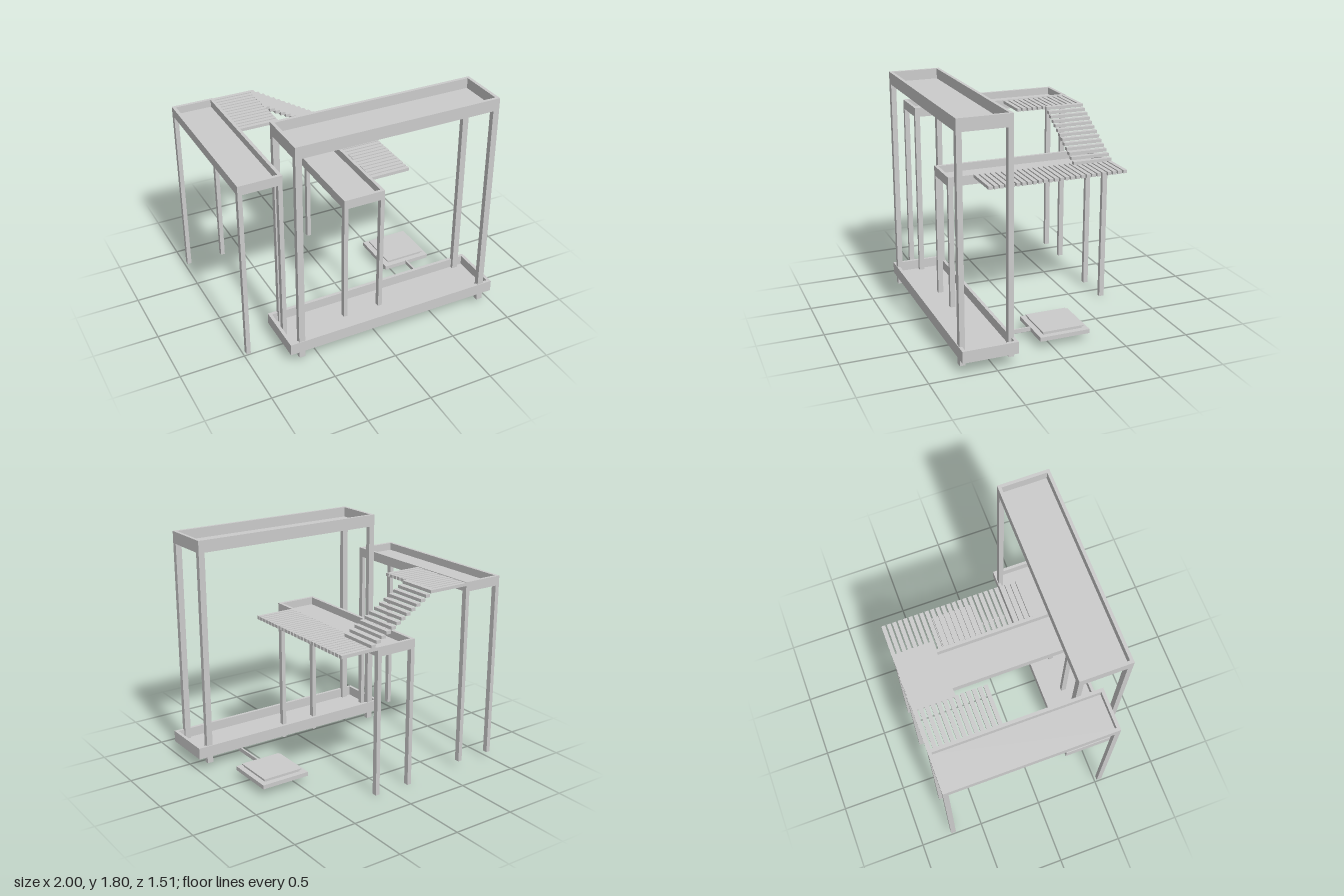
import * as THREE from 'three';

const material = new THREE.MeshStandardMaterial({ color: 0xcccccc, flatShading: true });

// Box given by its extents on each axis
function box(name, [x0, x1], [y0, y1], [z0, z1]) {
  const mesh = new THREE.Mesh(new THREE.BoxGeometry(x1 - x0, y1 - y0, z1 - z0), material);
  mesh.position.set((x0 + x1) / 2, (y0 + y1) / 2, (z0 + z1) / 2);
  mesh.name = name;
  return mesh;
}

function rectangle(Type, x0, x1, y0, y1) {
  return new Type([[x0, y0], [x1, y0], [x1, y1], [x0, y1]].map(p => new THREE.Vector2(...p)));
}

// Open tray: a rim around a thin floor
function tray(name, [x0, x1], [y0, y1], [z0, z1], wall = 0.025) {
  const group = new THREE.Group();
  group.name = name;
  const outline = rectangle(THREE.Shape, x0, x1, -z1, -z0);
  outline.holes.push(rectangle(THREE.Path, x0 + wall, x1 - wall, -z1 + wall, -z0 - wall));
  const rimGeometry = new THREE.ExtrudeGeometry(outline, { depth: y1 - y0, bevelEnabled: false });
  rimGeometry.rotateX(-Math.PI / 2);
  const rim = new THREE.Mesh(rimGeometry, material);
  rim.position.y = y0;
  rim.name = 'rim';
  group.add(rim, box('floor', [x0 + wall, x1 - wall], [y0, y0 + 0.015], [z0 + wall, z1 - wall]));
  return group;
}

// Tray raised on four corner legs
function raisedTray(name, xs, ys, zs, foot, legX, legZ) {
  const group = tray(name, xs, ys, zs);
  for (const x of [xs[0], xs[1] - legX])
    for (const z of [zs[0], zs[1] - legZ])
      group.add(box('leg', [x, x + legX], [foot, ys[0]], [z, z + legZ]));
  return group;
}

// Walkway of evenly spaced slats between z0 and z1
function slats(name, xs, ys, [z0, z1], count) {
  const group = new THREE.Group();
  group.name = name;
  const width = 0.031, pitch = (z1 - z0 - width) / (count - 1);
  for (let i = 0; i < count; i++) {
    const z = z0 + i * pitch;
    group.add(box('slat', xs, ys, [z, z + width]));
  }
  return group;
}

export function createModel() {
  const model = new THREE.Group();
  model.name = 'raisedPlatforms';

  // Trays
  model.add(
    tray('baseTray', [-0.735, 0.995], [0.1, 0.19], [0.34, 0.755]),
    raisedTray('tallTray', [-0.665, 0.922], [1.71, 1.803], [0.348, 0.75], 0.045, 0.048, 0.04),
    raisedTray('leftTray', [-1, -0.672], [1.42, 1.493], [-0.755, 0.55], 0.055, 0.033, 0.04),
    raisedTray('middleTray', [-0.2, 0.13], [1.08, 1.153], [-0.755, 0.55], 0, 0.033, 0.04)
  );

  // Slatted walkways
  model.add(
    slats('upperWalkway', [-0.672, -0.365], [1.465, 1.489], [-0.755, -0.2], 13),
    slats('lowerWalkway', [0.13, 0.445], [1.13, 1.155], [-0.755, 0.35], 26)
  );

  // Stairs from the upper walkway down to the middle tray
  const stairs = new THREE.Group();
  stairs.name = 'stairs';
  for (let i = 0; i <= 12; i++) {
    const x = -0.353 + i * 0.0437, y = 1.477 - i * 0.0258;
    stairs.add(box('step', [x - 0.019, x + 0.019], [y - 0.012, y + 0.012], [-0.755, -0.437]));
  }
  model.add(stairs);

  // Low square pad behind the base, joined by an arm
  const pad = new THREE.Group();
  pad.name = 'pad';
  pad.add(
    box('padBase', [0.42, 0.812], [0.058, 0.09], [-0.295, 0.097]),
    box('padNeck', [0.465, 0.77], [0.09, 0.106], [-0.25, 0.056]),
    box('padTop', [0.455, 0.78], [0.106, 0.115], [-0.26, 0.066]),
    box('arm', [0.608, 0.621], [0.058, 0.09], [0.097, 0.395])
  );
  model.add(pad);

  return model;
}
